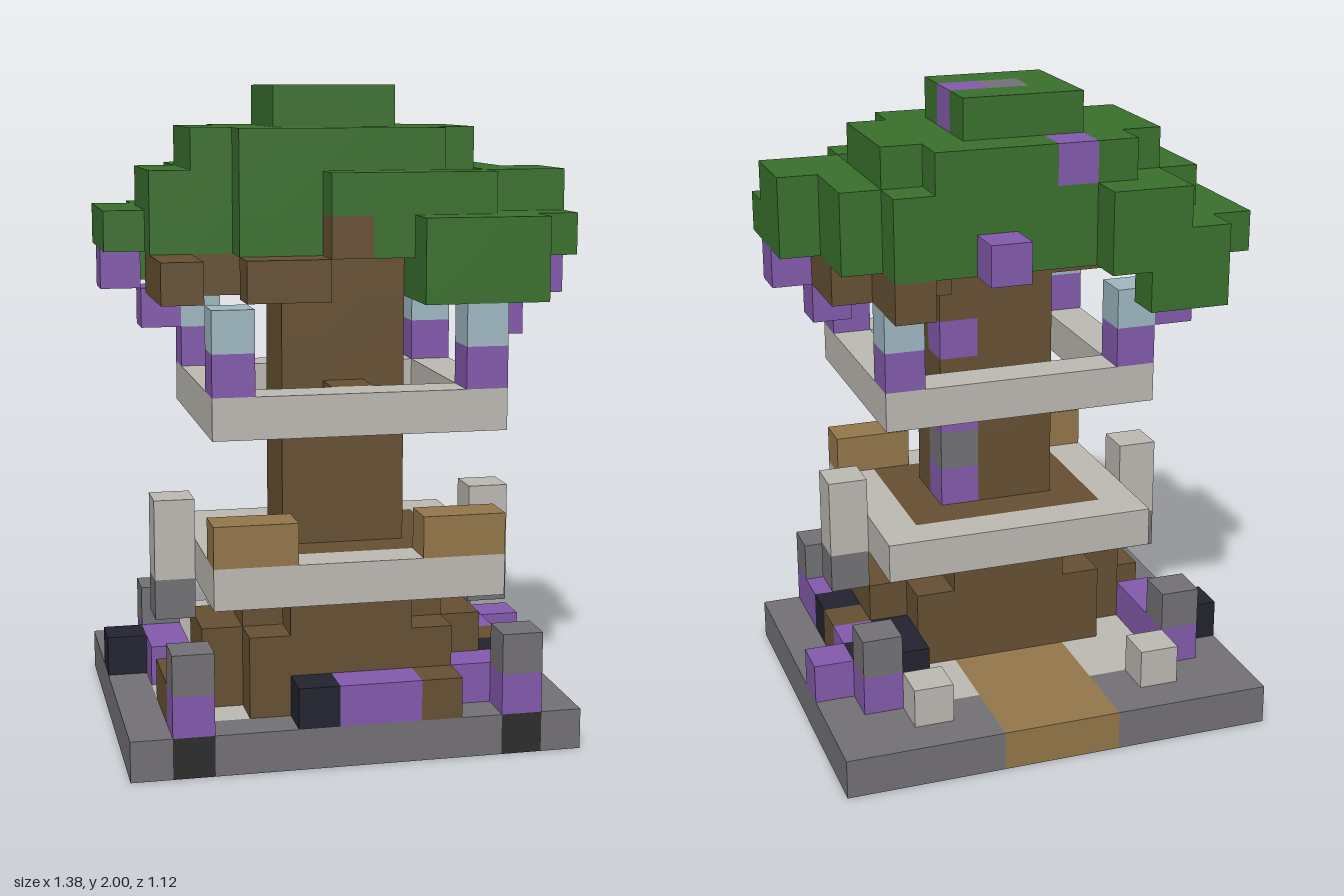
import * as THREE from 'three';
import { mergeGeometries } from 'three/addons/utils/BufferGeometryUtils.js';

const U = 0.125; // edge of one block

const mat = (name, color) => {
  const m = new THREE.MeshStandardMaterial({ color });
  m.name = name;
  return m;
};
const stone = mat('grey stone', 0x737175);
const pale = mat('pale stone', 0xbdb9b3);
const bark = mat('bark brown', 0x665033);
const tan = mat('tan wood', 0x94764a);
const leaf = mat('leaf green', 0x3a702d);
const purple = mat('purple', 0x845aad);
const blue = mat('pale blue', 0x9fb8c2);
const navy = mat('dark navy', 0x22232f);
const coal = mat('charcoal', 0x2d2d2d);

export function createModel() {
  const cells = new Map();
  // Fill a range of blocks; later fills replace earlier ones.
  const fill = (part, material, [x0, x1 = x0], [y0, y1 = y0], [z0, z1 = z0]) => {
    for (let x = x0; x <= x1; x++)
      for (let y = y0; y <= y1; y++)
        for (let z = z0; z <= z1; z++)
          cells.set([x, y, z].join(), { part, material, x, y, z });
  };
  const one = (part, material, ...list) =>
    list.forEach(([x, y, z]) => fill(part, material, [x], [y], [z]));

  // Ground slab, paved floor and path
  fill('baseSlab', stone, [-5, 5], [0], [-4, 4]);
  fill('pavedFloor', pale, [-4, 4], [0], [-2, 3]);
  fill('path', tan, [-1, 1], [0], [-4, 1]);

  // Trunk with spreading roots
  for (const y of [1, 2]) {
    fill('roots', bark, [-2, 2], [y], [0, 3]);
    fill('roots', bark, [-3, 3], [y], [1, 2]);
  }
  fill('roots', bark, [-2, 2], [3], [1, 2]);
  fill('roots', bark, [-1, 1], [3], [0, 3]);
  fill('roots', bark, [-4], [1], [2, 3]);
  one('roots', bark, [2, 1, 4], [4, 1, 1]);
  fill('trunk', bark, [-1, 1], [5, 12], [1, 2]);
  one('trunk', bark, [0, 8, 3]);
  one('trunkWindow', purple, [1, 5, 1], [1, 7, 1], [1, 9, 1]);
  one('trunkWindowSill', stone, [1, 6, 1]);

  // Lower and upper balconies
  fill('lowerBalcony', pale, [-3, 3], [4], [-1, 4]);
  fill('lowerDeck', bark, [-2, 2], [4], [0, 3]);
  for (const z of [-1, 4]) fill('upperBalcony', pale, [-3, 3], [8], [z]);
  for (const x of [-3, 3]) fill('upperBalcony', pale, [x], [8], [-1, 4]);

  // Mirrored posts, benches and lanterns
  for (const s of [-1, 1]) {
    for (const z of [-2, 4]) {
      one('postFoot', coal, [4 * s, 0, z]);
      one('postLower', purple, [4 * s, 1, z]);
      one('postCap', stone, [4 * s, 2, z]);
    }
    one('pillarFoot', stone, [4 * s, 3, 1]);
    fill('pillar', pale, [4 * s], [4, 5], [1]);
    one('gateStone', pale, [3 * s, 1, -3]);
    one('bench', tan, [2 * s, 5, 4], [3 * s, 5, 4]);
    for (const z of [-1, 4]) {
      one('lanternBase', purple, [3 * s, 9, z]);
      one('lanternGlass', blue, [3 * s, 10, z]);
    }
  }

  // Flower beds and dark rocks
  one('flowers', purple, [0, 1, 4], [1, 1, 4], [3, 1, 3], [4, 1, 3], [4, 1, 0],
    [5, 1, -1], [-4, 1, -1], [-4, 1, 0]);
  one('darkRocks', navy, [-1, 1, 4], [4, 1, 2], [4, 1, -1], [3, 1, -1], [3, 1, 0], [-5, 1, -1]);

  // Canopy, from the lowest leaves up
  fill('leaves', leaf, [2, 4], [11], [3, 4]);
  fill('leaves', leaf, [-4, -3], [11], [-3]);
  fill('leaves', leaf, [-5, 4], [12], [-1, 0]);
  fill('leaves', leaf, [-5, 3], [12], [-2]);
  fill('leaves', leaf, [-4, -2], [12], [-3]);
  fill('leaves', leaf, [-4, 5], [12], [1]);
  fill('leaves', leaf, [-2, 5], [12], [2]);
  fill('leaves', leaf, [0, 5], [12], [3]);
  fill('leaves', leaf, [2, 4], [12], [4]);
  fill('leaves', leaf, [-4, 4], [13], [-1, 0]);
  fill('leaves', leaf, [-4, 5], [13], [1]);
  fill('leaves', leaf, [-3, 3], [13], [-2]);
  fill('leaves', leaf, [-3, -2], [13], [-3]);
  fill('leaves', leaf, [-2, 2], [13], [2]);
  fill('leaves', leaf, [4, 5], [13], [2]);
  fill('leaves', leaf, [0, 3], [13], [3]);
  fill('leaves', leaf, [-3, 3], [14], [-1, 1]);
  fill('leaves', leaf, [-2, 2], [14], [2]);
  fill('leaves', leaf, [-2, 2], [14], [-2]);
  fill('leaves', leaf, [-1, 1], [15], [-1, 1]);

  // Branches under and through the leaves
  fill('branches', bark, [-4], [11], [1, 3]);
  fill('branches', bark, [-3, -2], [11], [1]);
  fill('branches', bark, [-2, -1], [11], [3]);
  fill('branches', bark, [2, 4], [11], [0, 1]);
  fill('branches', bark, [3], [11], [-2, -1]);
  one('branches', bark, [0, 12, 3], [3, 12, 2]);

  // Blossoms and top stone
  one('blossoms', purple, [1, 15, 0], [-1, 14, -2], [1, 12, -3], [5, 11, 2], [4, 10, 2],
    [-5, 11, -1], [-4, 10, -1]);
  one('topStone', stone, [0, 15, 0]);

  // The six faces of a block, as direction and outward square
  const half = U / 2;
  const H = Math.PI / 2;
  const face = (d, rx, ry) => ({
    d, geo: new THREE.PlaneGeometry(U, U).translate(0, 0, half).rotateX(rx).rotateY(ry),
  });
  const faces = [
    face([0, 0, 1], 0, 0), face([0, 0, -1], 0, Math.PI),
    face([1, 0, 0], 0, H), face([-1, 0, 0], 0, -H),
    face([0, 1, 0], -H, 0), face([0, -1, 0], H, 0),
  ];

  // Gather the exposed faces of each part into one mesh
  const parts = new Map();
  for (const { part, material, x, y, z } of cells.values()) {
    for (const { d, geo } of faces) {
      if (cells.has([x + d[0], y + d[1], z + d[2]].join())) continue;
      if (!parts.has(part)) parts.set(part, { material, list: [] });
      parts.get(part).list.push(geo.clone().translate(x * U, (y + 0.5) * U, z * U));
    }
  }
  const group = new THREE.Group();
  group.name = 'treeHouse';
  for (const [name, { material, list }] of parts) {
    const mesh = new THREE.Mesh(mergeGeometries(list), material);
    mesh.name = name;
    group.add(mesh);
  }
  return group;
}
